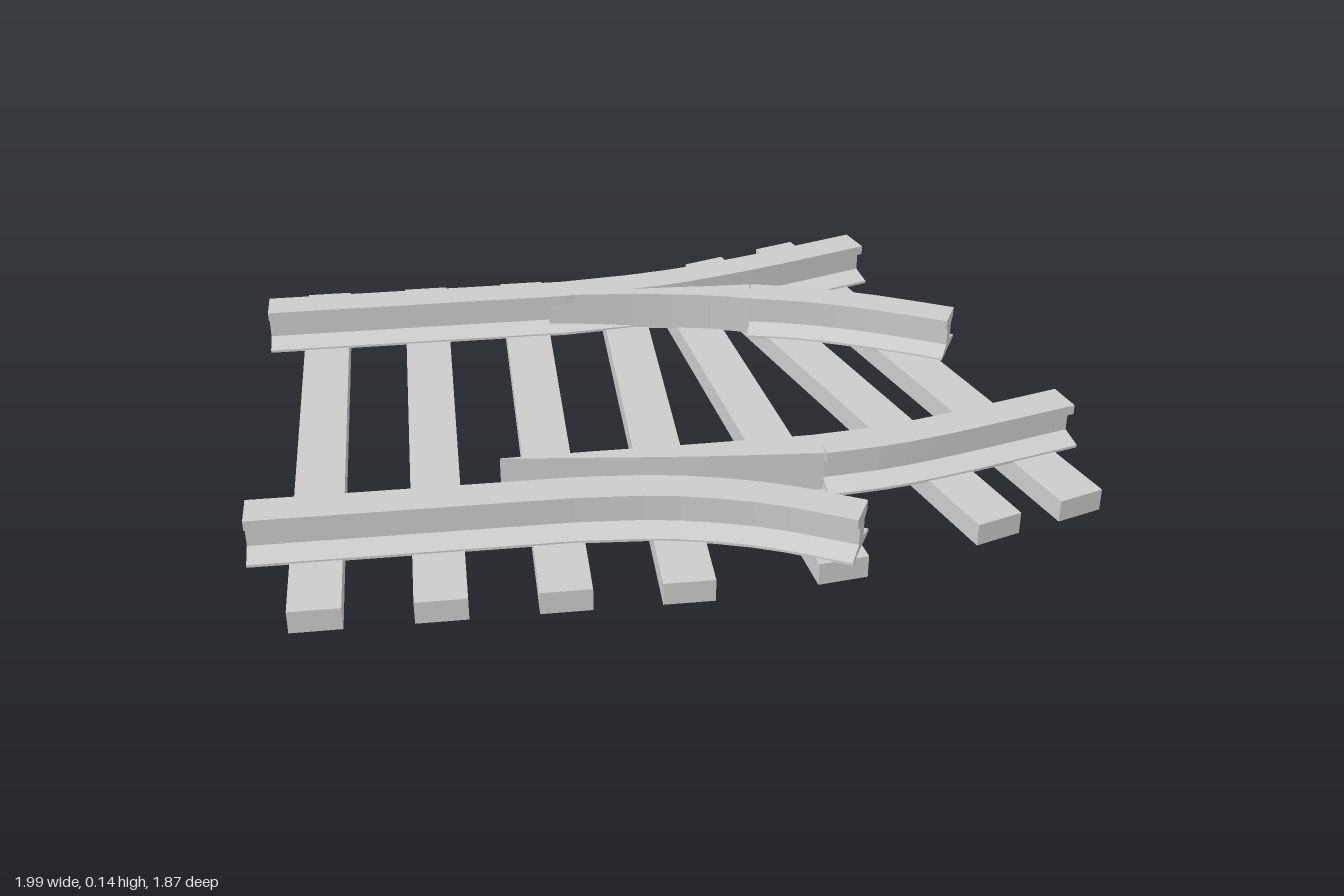
import * as THREE from 'three';

const material = new THREE.MeshStandardMaterial({ color: 0xcccccc, flatShading: true, side: THREE.DoubleSide });

// Half-widths and heights of the right side; mirrored into a closed section
const mirrorSection = (half) => [...half, ...half.map(([w, y]) => [-w, y]).reverse()];
const railSection = mirrorSection([[0.064, 0.048], [0.064, 0.054], [0.018, 0.068], [0.018, 0.109], [0.038, 0.118], [0.038, 0.14]]);
const bladeSection = mirrorSection([[0.037, 0.048], [0.037, 0.14]]);

// Sweep a section along a plan path of [x, z]; width(t) scales it sideways
function sweep(name, section, path, width = () => 1) {
  const n = section.length;
  const pos = [];
  const index = [];
  path.forEach(([x, z], i) => {
    const a = path[Math.max(i - 1, 0)];
    const b = path[Math.min(i + 1, path.length - 1)];
    const len = Math.hypot(b[0] - a[0], b[1] - a[1]);
    const sx = -(b[1] - a[1]) / len;
    const sz = (b[0] - a[0]) / len;
    const k = width(i / (path.length - 1));
    for (const [w, y] of section) pos.push(x + sx * w * k, y, z + sz * w * k);
  });
  for (let i = 0; i < path.length - 1; i++) {
    for (let j = 0; j < n; j++) {
      const p = i * n + j;
      const q = i * n + ((j + 1) % n);
      index.push(p, q, p + n, q, q + n, p + n);
    }
  }
  // End caps
  const last = (path.length - 1) * n;
  const outline = section.map(([w, y]) => new THREE.Vector2(w, y));
  for (const [a, b, c] of THREE.ShapeUtils.triangulateShape(outline, [])) {
    index.push(a, c, b, last + a, last + b, last + c);
  }
  const geo = new THREE.BufferGeometry();
  geo.setAttribute('position', new THREE.Float32BufferAttribute(pos, 3));
  geo.setIndex(index);
  const flat = geo.toNonIndexed();
  flat.computeVertexNormals();
  const mesh = new THREE.Mesh(flat, material);
  mesh.name = name;
  return mesh;
}

// Smooth plan curve through a few points
function curve(points, steps) {
  const c = new THREE.CatmullRomCurve3(points.map(([x, z]) => new THREE.Vector3(x, 0, z)));
  return c.getPoints(steps).map((p) => [p.x, p.z]);
}

// Sleeper: a hollow trough, open underneath, between two end points
function sleeper(x0, z0, x1, z1) {
  const geo = new THREE.BoxGeometry(Math.hypot(x1 - x0, z1 - z0), 0.05, 0.104);
  const idx = Array.from(geo.index.array);
  idx.splice(18, 6); // drop the bottom face
  geo.setIndex(idx);
  geo.clearGroups();
  const mesh = new THREE.Mesh(geo, material);
  mesh.position.set((x0 + x1) / 2, 0.025, (z0 + z1) / 2);
  mesh.rotation.y = -Math.atan2(z1 - z0, x1 - x0);
  mesh.name = 'sleeper';
  return mesh;
}

export function createModel() {
  const model = new THREE.Group();
  model.name = 'railwaySwitch';

  // Sleepers, fanning round towards the diverging end
  const sleepers = new THREE.Group();
  sleepers.name = 'sleepers';
  for (let i = 0; i < 4; i++) {
    const x = 0.215 * i;
    const z = -0.107 * i;
    sleepers.add(sleeper(-0.95 + x, -0.267 + z, -0.36 + x, 0.91 + z));
  }
  sleepers.add(sleeper(-0.2, -0.67, 0.55, 0.42));
  sleepers.add(sleeper(-0.122, -0.757, 0.815, 0.175));
  sleepers.add(sleeper(0.025, -0.903, 0.96, 0.033));
  model.add(sleepers);

  // Outer stock rails: straight, then curving away
  model.add(sweep('backStockRail', railSection, [[-0.967, -0.01],
    ...curve([[-0.34, -0.324], [-0.14, -0.453], [0.04, -0.605], [0.26, -0.82]], 9)]));
  model.add(sweep('frontStockRail', railSection, [[-0.58, 0.772],
    ...curve([[0, 0.482], [0.18, 0.41], [0.38, 0.37], [0.57, 0.367]], 8)]));

  // Inner rails: solid tapered blades leading into full rails
  const taper = (t) => 0.02 + 0.98 * t;
  model.add(sweep('backBlade', bladeSection,
    curve([[-0.36, -0.28], [-0.18, -0.365], [0, -0.432], [0.09, -0.46]], 6), taper));
  model.add(sweep('backInnerRail', railSection,
    curve([[0.09, -0.46], [0.22, -0.488], [0.38, -0.503], [0.57, -0.503]], 6)));
  model.add(sweep('frontBlade', bladeSection,
    curve([[-0.18, 0.43], [0.0, 0.35], [0.2, 0.262], [0.43, 0.155]], 6), taper));
  model.add(sweep('frontInnerRail', railSection,
    curve([[0.43, 0.155], [0.55, 0.078], [0.66, -0.01], [0.88, -0.205]], 7)));
  return model;
}
